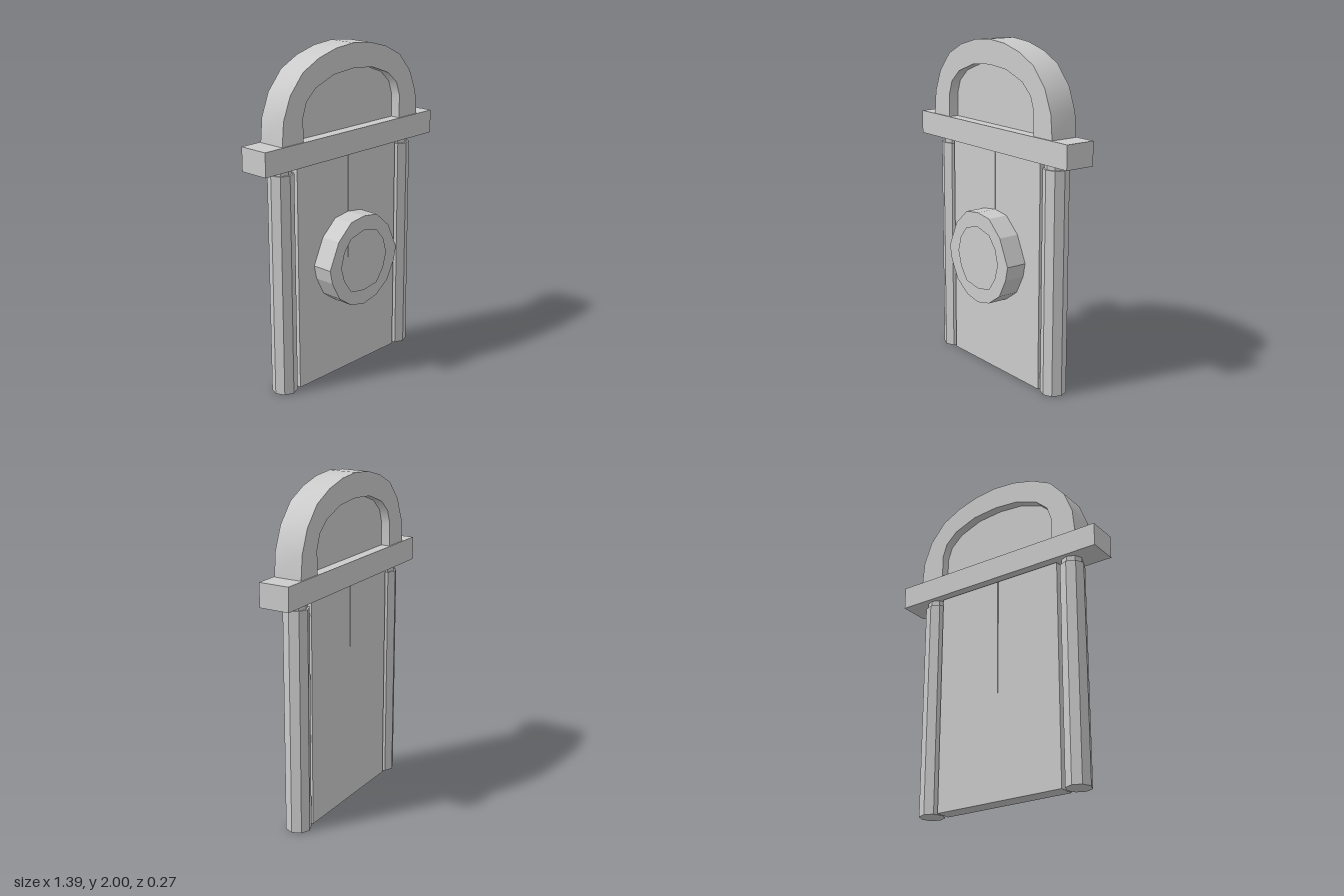
import * as THREE from 'three';
import { toCreasedNormals } from 'three/addons/utils/BufferGeometryUtils.js';

const material = new THREE.MeshStandardMaterial({ color: 0xcccccc });
const flat = new THREE.MeshStandardMaterial({ color: 0xcccccc, flatShading: true });

// Right half (top to bottom) mirrored into a full outline
const mirrored = (half) => {
  const left = half.filter(([x]) => x > 0).map(([x, y]) => [-x, y]).reverse();
  return [...half, ...left].map(([x, y]) => new THREE.Vector2(x, y));
};

// Extrude an outline between two depths
function slab(points, back, front, hole) {
  const shape = new THREE.Shape(points);
  if (hole) shape.holes.push(new THREE.Path(hole));
  const geometry = new THREE.ExtrudeGeometry(shape, { depth: front - back, bevelEnabled: false });
  return geometry.translate(0, 0, back);
}

export function createModel() {
  const model = new THREE.Group();
  model.name = 'doorway';
  const add = (name, geometry, mat = material) => {
    const mesh = new THREE.Mesh(geometry, mat);
    mesh.name = name;
    model.add(mesh);
    return mesh;
  };

  // Lintel beam
  add('lintel', new THREE.BoxGeometry(1.39, 0.14, 0.186).translate(0, 1.432, -0.04));

  // Arch with a recessed panel on both faces
  const outer = mirrored([[0, 2], [0.14, 1.987], [0.275, 1.95], [0.4, 1.887],
    [0.497, 1.775], [0.55, 1.642], [0.563, 1.5]]);
  const inner = mirrored([[0, 1.857], [0.159, 1.843], [0.3, 1.79], [0.375, 1.722],
    [0.403, 1.64], [0.403, 1.5]]);
  // The opening reaches the lintel, so the arch is one open band
  const band = [...outer.slice(7), ...outer.slice(0, 7), ...inner.slice(0, 6).reverse(),
    ...inner.slice(6).reverse()];
  add('arch', toCreasedNormals(slab(band, -0.125, 0.046), 0.6));
  add('archPanel', slab(inner, -0.07, -0.015));

  // Octagonal pillars with short necks, and door leaves whose seam opens upward
  for (const side of [1, -1]) {
    const name = side > 0 ? 'left' : 'right';
    add(name + 'Pillar', new THREE.CylinderGeometry(0.075, 0.075, 1.327, 8)
      .translate(side * 0.493, 0.6635, -0.045), flat);
    add(name + 'PillarNeck', new THREE.CylinderGeometry(0.064, 0.064, 0.05, 8)
      .translate(side * 0.493, 1.345, -0.045), flat);
    const leaf = [[0, 0], [0.415, 0], [0.415, 1.355], [0.003, 1.355], [0, 0.53]]
      .map(([x, y]) => new THREE.Vector2(side * x, y));
    add(name + 'DoorLeaf', slab(leaf, -0.093, 0.005));
  }

  // Faceted ring on the front of the door
  const rim = mirrored([[0, 1], [0.11, 0.985], [0.215, 0.892], [0.288, 0.735],
    [0.27, 0.652], [0.21, 0.54], [0.11, 0.47], [0, 0.447]]);
  const bore = mirrored([[0, 0.912], [0.11, 0.885], [0.167, 0.815], [0.193, 0.725],
    [0.167, 0.635], [0.11, 0.555], [0, 0.537]]);
  add('doorRing', slab(rim, -0.005, 0.133, bore));

  return model;
}
